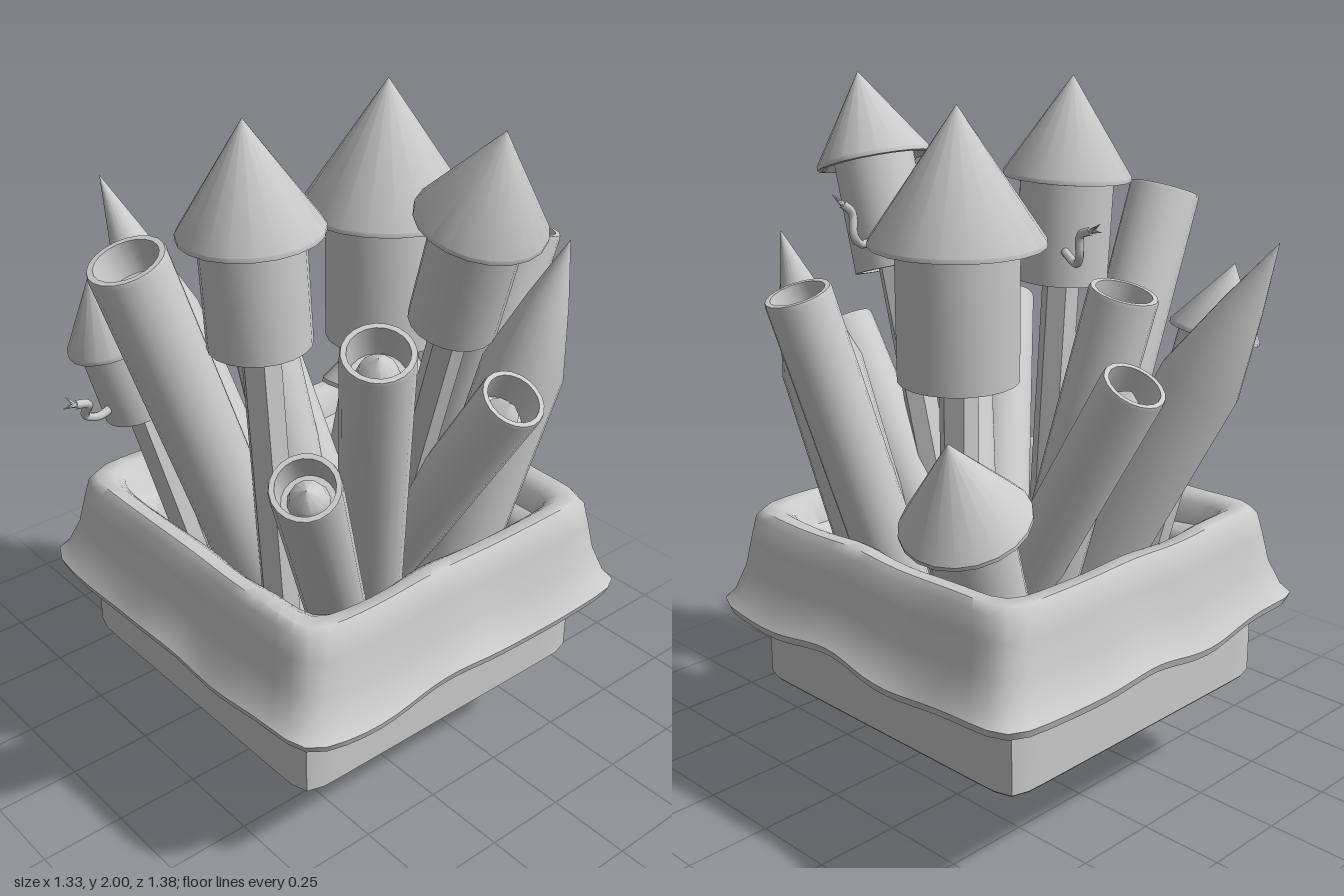
import * as THREE from 'three';
import { toCreasedNormals } from 'three/addons/utils/BufferGeometryUtils.js';

const mat = new THREE.MeshStandardMaterial({ color: 0xcccccc });
const matBoth = new THREE.MeshStandardMaterial({ color: 0xcccccc, side: THREE.DoubleSide });
const UP = new THREE.Vector3(0, 1, 0);
const V = (a) => new THREE.Vector3(...a);

function mesh(name, geo, material = mat) {
  const m = new THREE.Mesh(geo, material);
  m.name = name;
  return m;
}

// Lathed part; a zero radius closes the end
function lathe(name, points, sides = 20) {
  const geo = new THREE.LatheGeometry(points.map((p) => new THREE.Vector2(...p)), sides);
  return mesh(name, toCreasedNormals(geo, 0.6));
}

// Group whose local y axis runs from foot to tip
function along(name, foot, tip) {
  const g = new THREE.Group();
  g.name = name;
  g.position.copy(V(foot));
  g.quaternion.setFromUnitVectors(UP, V(tip).sub(V(foot)).normalize());
  g.userData.length = V(tip).distanceTo(V(foot));
  return g;
}

// Rocket with a cone head, a round body and a stick
function rocket(name, foot, tip, coneR, coneH, bodyR, bodyLen, stickR) {
  const g = along(name, foot, tip);
  const L = g.userData.length, base = L - coneH, low = base - bodyLen;
  g.add(lathe('coneHead', [[bodyR * 0.9, base + 0.03], [coneR * 0.93, base - 0.008],
    [coneR, base - 0.006], [coneR, base + 0.006], [0, L]]));
  g.add(lathe('body', [[0, low + 0.03], [bodyR * 0.85, low + 0.03], [bodyR * 0.88, low],
    [bodyR, low], [bodyR, base + 0.03]]));
  g.add(lathe('stick', [[0, 0], [stickR * 0.85, 0], [stickR, 0.04], [stickR, low + 0.05]], 6));
  return g;
}

// Launch tube with a recessed mouth, and a nub inside when loaded
function tube(name, foot, tip, r, loaded) {
  const g = along(name, foot, tip);
  const L = g.userData.length, depth = 0.09;
  g.add(lathe('tubeWall', [[0, 0], [r, 0], [r, L - 0.01], [r * 0.97, L], [r * 0.82, L],
    [r * 0.76, L - depth], [0, L - depth]]));
  if (loaded) {
    g.add(lathe('tubeCharge', [[r * 0.6, L - depth], [r * 0.5, L - depth + 0.03],
      [r * 0.2, L - 0.035], [0, L - 0.02]], 12));
  }
  return g;
}

// Solid pointed stake
function stake(name, foot, tip, r, pointH) {
  const g = along(name, foot, tip);
  const L = g.userData.length;
  g.add(lathe('shaft', [[0, 0], [r, 0], [r * 1.02, L - pointH], [r * 0.5, L - pointH * 0.45], [0, L]]));
  return g;
}

// Curled fuse with a frayed end
function fuse(name, pts) {
  const g = new THREE.Group();
  g.name = name;
  const curve = new THREE.CatmullRomCurve3(pts.map(V));
  g.add(mesh('cord', new THREE.TubeGeometry(curve, 20, 0.012, 8)));
  const end = curve.getPoint(1), dir = curve.getTangent(1);
  for (let i = 0; i < 3; i++) {
    const spread = new THREE.Vector3(Math.cos(i * 2.1), Math.sin(i * 2.1), Math.cos(i * 2.1 + 1));
    const d = dir.clone().addScaledVector(spread, 0.45).normalize();
    const strand = mesh('strand', new THREE.ConeGeometry(0.008, 0.04, 5));
    strand.position.copy(end).addScaledVector(d, 0.017);
    strand.quaternion.setFromUnitVectors(UP, d);
    g.add(strand);
  }
  return g;
}

// Loft of rounded squares; each level is [half size, height, waviness]
function squareLoft(levels, power, crease) {
  const N = 96, pos = [], idx = [];
  for (const [half, y, wave] of levels) {
    for (let j = 0; j < N; j++) {
      const t = (j / N) * Math.PI * 2, c = Math.cos(t), s = Math.sin(t);
      const ripple = Math.sin(t * 8 + 0.6) + 0.5 * Math.sin(t * 5 + 2);
      const r = (half + wave * 0.4 * Math.cos(t * 11)) /
        Math.pow(Math.abs(c) ** power + Math.abs(s) ** power, 1 / power);
      pos.push(r * c, y + wave * ripple, r * s);
    }
  }
  for (let i = 0; i < levels.length - 1; i++) {
    for (let j = 0; j < N; j++) {
      const k = (j + 1) % N, a = i * N + j, b = i * N + k, c = a + N, d = b + N;
      idx.push(a, c, b, b, c, d);
    }
  }
  const geo = new THREE.BufferGeometry();
  geo.setAttribute('position', new THREE.Float32BufferAttribute(pos, 3));
  geo.setIndex(idx);
  return toCreasedNormals(geo, crease);
}

export function createModel() {
  const model = new THREE.Group();
  model.name = 'rocketBox';

  // Box with a raised floor, hollow underneath
  const box = mesh('box', squareLoft([[0.01, 0.47, 0], [0.49, 0.47, 0], [0.49, 0.305, 0], [0.494, 0.3, 0],
    [0.505, 0.3, 0], [0.511, 0.307, 0], [0.511, 0.6, 0]], 22, 0.7), matBoth);
  box.position.set(0.018, 0, -0.013);

  // Draped cloth: flared skirt, rolled rim and inner folds
  const cloth = mesh('cloth', squareLoft([[0.51, 0.57, 0.005], [0.585, 0.525, 0.01], [0.6, 0.522, 0.011],
    [0.608, 0.545, 0.011], [0.585, 0.575, 0.01], [0.558, 0.65, 0.007], [0.542, 0.74, 0.005],
    [0.53, 0.8, 0.003], [0.512, 0.823, 0.003], [0.475, 0.822, 0.004], [0.45, 0.8, 0.008],
    [0.435, 0.74, 0.01], [0.4, 0.725, 0.006], [0.385, 0.7, 0.003], [0.375, 0.47, 0]],
  14, 0.9), matBoth);
  cloth.position.set(0.02, 0, -0.024);
  model.add(box, cloth);

  // Rockets
  model.add(
    rocket('largeRocket', [0.03, 0.25, -0.2], [-0.01, 1.96, -0.23], 0.235, 0.35, 0.165, 0.37, 0.055),
    rocket('frontRocket', [0.17, 0.02, 0.25], [0.11, 1.995, 0.335], 0.185, 0.28, 0.135, 0.3, 0.055),
    rocket('leftRocket', [-0.02, 0.01, -0.12], [0.578, 2, -0.058], 0.165, 0.25, 0.115, 0.31, 0.05),
    rocket('smallRocket', [-0.18, 0.28, 0.22], [-0.35, 1.5, 0.505], 0.13, 0.2, 0.1, 0.22, 0.045),
    rocket('lowRocket', [-0.08, 0.23, -0.11], [-0.218, 1.17, -0.47], 0.178, 0.26, 0.12, 0.74, 0.05),
  );

  // Launch tubes
  model.add(
    tube('frontTube', [0.01, 0.17, 0.07], [-0.025, 1.665, 0.59], 0.103, false),
    tube('backTube', [0.08, 0.3, -0.25], [0.175, 1.51, -0.61], 0.088, false),
    tube('rightLowTube', [0.1, 0.27, -0.12], [-0.5, 1.3, -0.095], 0.087, true),
    tube('rightHighTube', [-0.05, 0.25, -0.08], [-0.37, 1.5, 0.01], 0.092, false),
    tube('leftHighTube', [0.07, 0.25, -0.12], [0.515, 1.52, 0.26], 0.093, true),
    tube('leftFrontTube', [0.06, 0.3, -0.03], [0.55, 1.27, 0.51], 0.088, true),
    tube('leftBackTube', [-0.06, 0.27, -0.13], [0.58, 1.29, -0.14], 0.088, true),
  );

  // Pointed stakes
  model.add(
    stake('rightStake', [-0.02, 0.3, 0.05], [-0.66, 1.63, 0.265], 0.11, 0.43),
    stake('backLeftStake', [0.21, 0.24, -0.19], [0.475, 1.61, -0.43], 0.112, 0.39),
  );

  // Fuses
  model.add(
    fuse('frontRocketFuse', [[0.03, 1.52, 0.22], [-0.04, 1.5, 0.19], [-0.08, 1.53, 0.16],
      [-0.09, 1.59, 0.15], [-0.14, 1.61, 0.14]]),
    fuse('leftRocketFuse', [[0.41, 1.56, -0.14], [0.4, 1.55, -0.21], [0.39, 1.58, -0.245],
      [0.4, 1.64, -0.24], [0.4, 1.67, -0.275]]),
    fuse('smallRocketFuse', [[-0.29, 1.15, 0.46], [-0.28, 1.12, 0.55], [-0.29, 1.13, 0.585],
      [-0.26, 1.18, 0.59], [-0.26, 1.19, 0.63]]),
  );
  return model;
}
